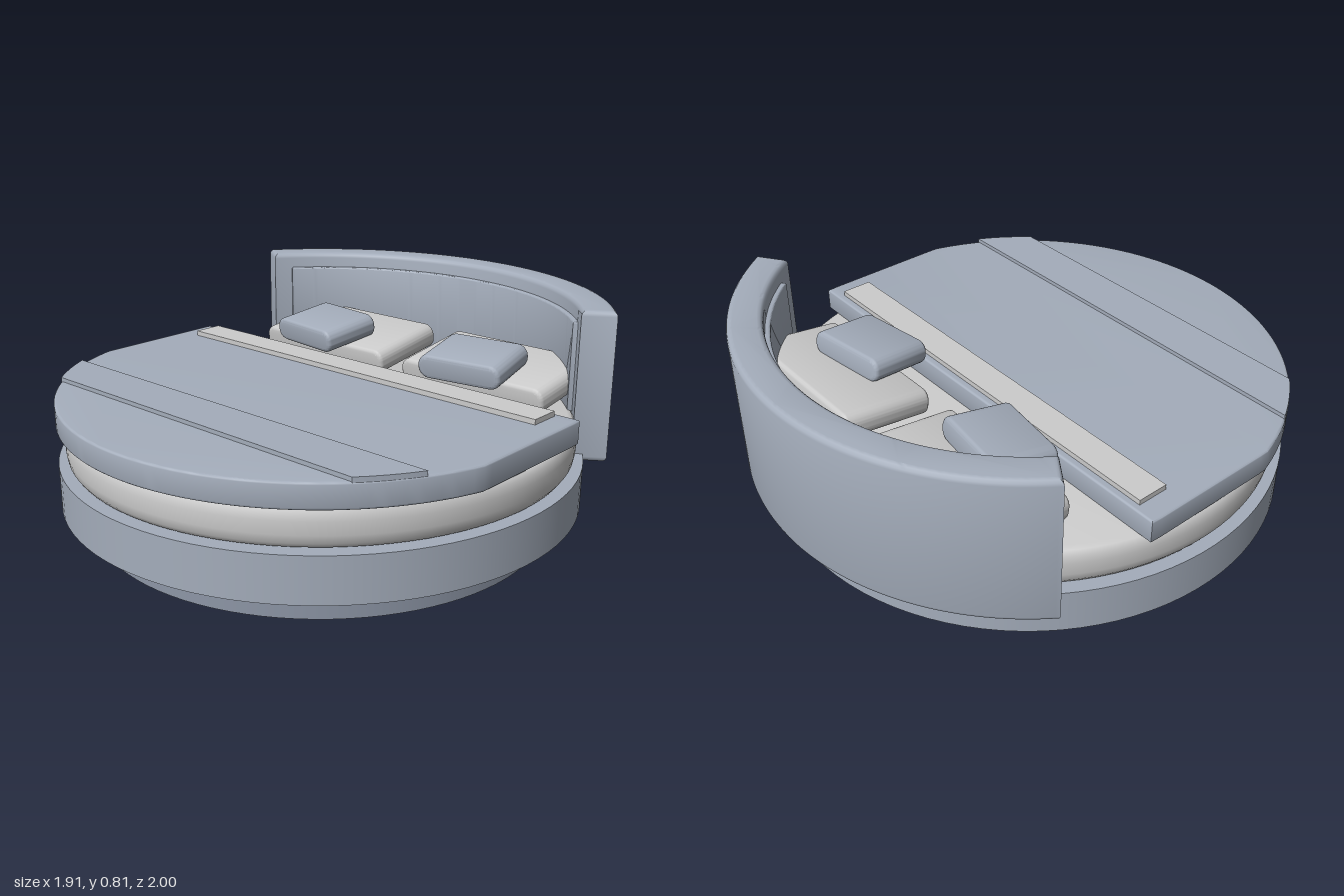
import * as THREE from 'three';
import { toCreasedNormals } from 'three/addons/utils/BufferGeometryUtils.js';

const slate = new THREE.MeshStandardMaterial({ color: 0xa4adbb });
const dark = new THREE.MeshStandardMaterial({ color: 0x8d96a6 });
const pale = new THREE.MeshStandardMaterial({ color: 0xcccccc });

function addMesh(parent, name, geometry, material) {
  const mesh = new THREE.Mesh(geometry, material);
  mesh.name = name;
  parent.add(mesh);
  return mesh;
}

// Extrusion whose bevel stays inside the given outline and depth
function bevelled(shape, depth, bevel, segments = 3) {
  const geo = new THREE.ExtrudeGeometry(shape, {
    depth: depth - 2 * bevel, curveSegments: 64, bevelEnabled: bevel > 0,
    bevelSize: bevel, bevelThickness: bevel, bevelOffset: -bevel, bevelSegments: segments,
  });
  geo.translate(0, 0, bevel);
  return geo;
}

// Plan outline (shape y points backwards) raised from y0 to y1
function slab(shape, y0, y1, bevel) {
  const geo = bevelled(shape, y1 - y0, bevel).rotateX(-Math.PI / 2).translate(0, y0, 0);
  return toCreasedNormals(geo, 0.6);
}

// Disc of radius r, limited to |x| <= xMax and z between zBack and zFront
function clippedDisc(r, xMax, zBack, zFront, steps = 48) {
  const side = [];
  for (let i = 0; i <= steps; i++) {
    const z = zBack + (zFront - zBack) * Math.sin((i / steps) * Math.PI / 2);
    side.push([Math.min(xMax, Math.sqrt(Math.max(0, r * r - z * z))), z]);
  }
  const right = side.map(([x, z]) => new THREE.Vector2(x, -z));
  const left = side.filter(([x]) => x > 1e-4).reverse().map(([x, z]) => new THREE.Vector2(-x, -z));
  return new THREE.Shape([...right, ...left]);
}

// Curved band behind the bed, from angle a to its mirror
function arcBand(inner, outer, a) {
  const s = new THREE.Shape();
  s.absarc(0, 0, outer, a, Math.PI - a, false);
  s.absarc(0, 0, inner, Math.PI - a, a, true);
  s.closePath();
  return s;
}

// Cushion: rounded front outline, slim bevel front and back
function cushion(w, h, d, r) {
  const x = w / 2, y = h / 2, q = Math.PI / 2;
  const s = new THREE.Shape();
  s.absarc(x - r, y - r, r, 0, q, false);
  s.absarc(-x + r, y - r, r, q, 2 * q, false);
  s.absarc(-x + r, -y + r, r, 2 * q, 3 * q, false);
  s.absarc(x - r, -y + r, r, 3 * q, 4 * q, false);
  const geo = new THREE.ExtrudeGeometry(s, {
    depth: d - 0.03, curveSegments: 6, bevelSize: 0.015, bevelThickness: 0.015,
    bevelOffset: -0.015, bevelSegments: 3,
  });
  return toCreasedNormals(geo.translate(0, 0, 0.015 - d / 2), 0.6);
}

export function createModel() {
  const model = new THREE.Group();
  model.name = 'roundBed';
  const bed = new THREE.Group();
  bed.name = 'bed';
  bed.position.z = 0.043; // the discs share this centre
  model.add(bed);

  // Plinth and base
  addMesh(bed, 'plinth', new THREE.CylinderGeometry(0.842, 0.842, 0.11, 96).translate(0, 0.055, 0), dark);
  addMesh(bed, 'base', new THREE.CylinderGeometry(0.957, 0.957, 0.165, 96).translate(0, 0.1925, 0), slate);

  // Mattress with soft edges
  const profile = [
    [0, 0.275], [0.895, 0.275], [0.912, 0.281], [0.923, 0.297], [0.928, 0.325],
    [0.928, 0.37], [0.923, 0.398], [0.912, 0.414], [0.895, 0.42], [0, 0.42],
  ].map(([r, y]) => new THREE.Vector2(r, y));
  addMesh(bed, 'mattress', toCreasedNormals(new THREE.LatheGeometry(profile, 96), 0.7), pale);

  // Blanket, its fold and the runner
  addMesh(bed, 'blanket', slab(clippedDisc(0.957, 0.919, -0.275, 0.957), 0.418, 0.507, 0.008), slate);
  addMesh(bed, 'blanketFold', new THREE.BoxGeometry(1.67, 0.03, 0.118).translate(0, 0.511, -0.19), pale);
  addMesh(bed, 'runner', slab(clippedDisc(0.955, 0.919, 0.45, 0.637), 0.5, 0.522, 0), slate);

  // Curved headboard with a raised inner panel
  addMesh(bed, 'headboard', slab(arcBand(0.918, 1.043, 0.605), 0.245, 0.807, 0.02), slate);
  addMesh(bed, 'headboardPanel', slab(arcBand(0.9, 0.93, 0.685), 0.41, 0.747, 0.006), slate);

  // Pillows, mirrored left and right
  for (const side of [1, -1]) {
    const label = side > 0 ? 'left' : 'right';
    const big = addMesh(model, label + 'Pillow', cushion(0.64, 0.1, 0.35, 0.042), pale);
    big.position.set(side * 0.37, 0.5, -0.535);
    big.rotation.x = 0.14;
    const small = addMesh(model, label + 'Cushion', cushion(0.335, 0.092, 0.25, 0.042), slate);
    small.position.set(side * 0.37, 0.569, -0.388);
    small.rotation.set(0.14, side * 0.14, 0, 'YXZ');
  }
  return model;
}
